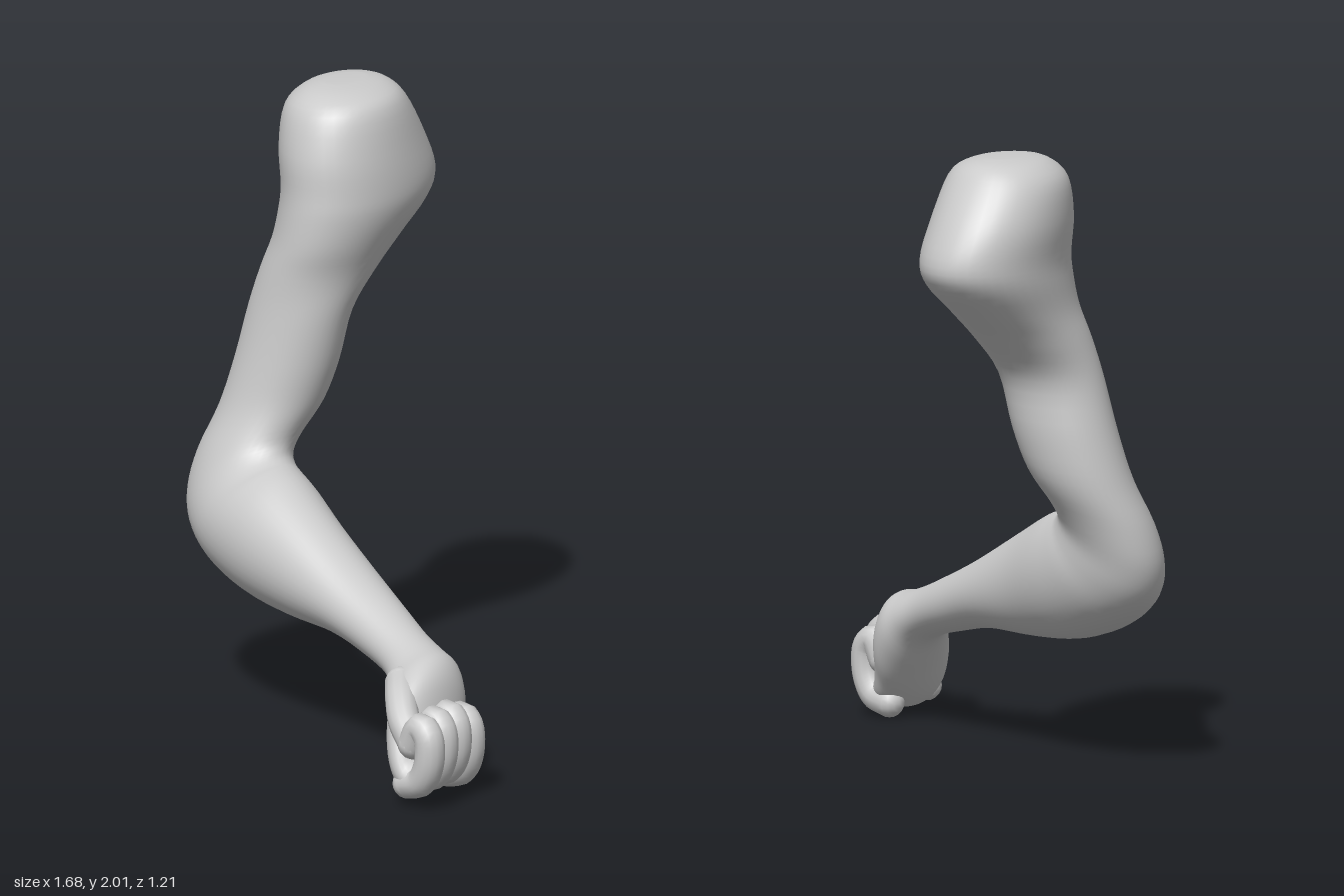
import * as THREE from 'three';

// Section rows: outer x, y, inner x, y, z min, z max, shear of x along z
const upperArm = [
  [-.57, 2, -.47, 2, -.33, -.17, .1],
  [-.65, 1.98, -.38, 1.985, -.41, -.08, .2],
  [-.71, 1.92, -.31, 1.94, -.47, -.01, .2],
  [-.735, 1.8, -.28, 1.8, -.56, .03, .22],
  [-.73, 1.68, -.27, 1.68, -.61, .037, .22],
  [-.725, 1.6, -.275, 1.6, -.58, .045, .22],
  [-.71, 1.5, -.3, 1.5, -.46, .055, .2],
  [-.71, 1.4, -.33, 1.4, -.34, .065, .1],
  [-.72, 1.27, -.355, 1.28, -.23, .08, 0],
  [-.755, 1.09, -.39, 1.11, -.205, .11, 0],
];
const foreArm = [
  [-.79, .93, -.425, .98, -.17, .145, 0],
  [-.828, .78, -.455, .88, -.1, .2, 0],
  [-.833, .65, -.45, .835, -.06, .24, 0],
  [-.78, .54, -.425, .81, -.05, .28, 0],
  [-.65, .45, -.39, .8, -.045, .32, 0],
  [-.45, .385, -.31, .775, -.02, .345, 0],
  [-.22, .362, -.15, .695, .035, .352, 0],
  [.02, .358, .07, .58, .09, .35, 0],
  [.2, .325, .24, .505, .135, .355, 0],
  [.34, .29, .38, .45, .172, .375, 0],
];
const hand = [
  [.41, .25, .48, .42, .18, .42, 0],
  [.47, .17, .56, .405, .18, .49, .05],
  [.53, .09, .62, .35, .2, .56, .1],
  [.58, .04, .66, .25, .24, .595, .15],
  [.63, .012, .69, .16, .27, .6, .2],
  [.69, .03, .72, .13, .3, .59, .25],
  [.71, .06, .73, .11, .36, .54, .25],
];

// Smooth closed skin through elliptical sections
function loft(rows, steps, sides) {
  const pos = [], idx = [];
  const rings = (rows.length - 1) * steps + 1;
  const spline = (a, b, c, d, t) => 0.5 * (2 * b + (c - a) * t
    + (2 * a - 5 * b + 4 * c - d) * t * t + (3 * b - a - 3 * c + d) * t * t * t);
  const row = (i) => rows[Math.min(Math.max(i, 0), rows.length - 1)];
  for (let r = 0; r < rings; r++) {
    const k = Math.floor(r / steps), t = (r % steps) / steps;
    const [ox, oy, ix, iy, z0, z1, shear] = row(k).map((v, n) =>
      spline(row(k - 1)[n], v, row(k + 1)[n], row(k + 2)[n], t));
    for (let j = 0; j < sides; j++) {
      const a = (j / sides) * Math.PI * 2, c = Math.cos(a) / 2;
      const dz = Math.sin(a) * (z1 - z0) / 2;
      pos.push((ox + ix) / 2 + c * (ox - ix) + shear * dz,
        (oy + iy) / 2 + c * (oy - iy), (z0 + z1) / 2 + dz);
    }
  }
  for (let r = 0; r < rings - 1; r++) for (let j = 0; j < sides; j++) {
    const n = (j + 1) % sides;
    const a = r * sides + j, d = r * sides + n, b = a + sides, c = d + sides;
    idx.push(a, b, d, b, c, d);
  }
  // Close both ends
  const start = rings * sides, last = (rings - 1) * sides;
  for (const e of [rows[0], rows[rows.length - 1]])
    pos.push((e[0] + e[2]) / 2, (e[1] + e[3]) / 2, (e[4] + e[5]) / 2);
  for (let j = 0; j < sides; j++) {
    const n = (j + 1) % sides;
    idx.push(start, j, n, start + 1, last + n, last + j);
  }
  const g = new THREE.BufferGeometry();
  g.setAttribute('position', new THREE.Float32BufferAttribute(pos, 3));
  g.setIndex(idx);
  g.computeVertexNormals();
  return g;
}

export function createModel() {
  const model = new THREE.Group();
  model.name = 'bentArm';
  const skin = new THREE.MeshStandardMaterial({ color: 0xcccccc });
  const add = (geometry, name, parent = model) => {
    const mesh = new THREE.Mesh(geometry, skin);
    mesh.name = name;
    parent.add(mesh);
    return mesh;
  };

  // Shoulder, elbow, forearm and palm in one continuous skin
  add(loft([...upperArm, ...foreArm, ...hand], 4, 40), 'armAndPalm');

  // Rounded tube for a digit
  const digit = (points, radius, name) => {
    const group = new THREE.Group();
    group.name = name;
    const path = new THREE.CatmullRomCurve3(points.map((p) => new THREE.Vector3(...p)));
    add(new THREE.TubeGeometry(path, 24, radius, 14), name + 'Body', group);
    for (const t of [0, 1])
      add(new THREE.SphereGeometry(radius, 14, 10), name + (t ? 'Tip' : 'Root'), group)
        .position.copy(path.getPoint(t));
    model.add(group);
  };

  // Four fingers curled up and back over the palm
  for (let i = 0; i < 4; i++) {
    const z = .315 + i * .08, dx = .32 * (z - .45), dy = [-.025, 0, 0, -.005][i];
    const curl = [[.65, .065], [.715, .085], [.752, .15], [.75, .235], [.715, .262], [.675, .2]];
    digit(curl.map(([x, y]) => [x + dx, y + dy, z]), .049, 'finger' + (i + 1));
  }

  // Thumb along the front edge of the palm
  digit([[.5, .33, .42], [.58, .3, .49], [.64, .25, .53], [.69, .2, .54]], .052, 'thumb');

  return model;
}
